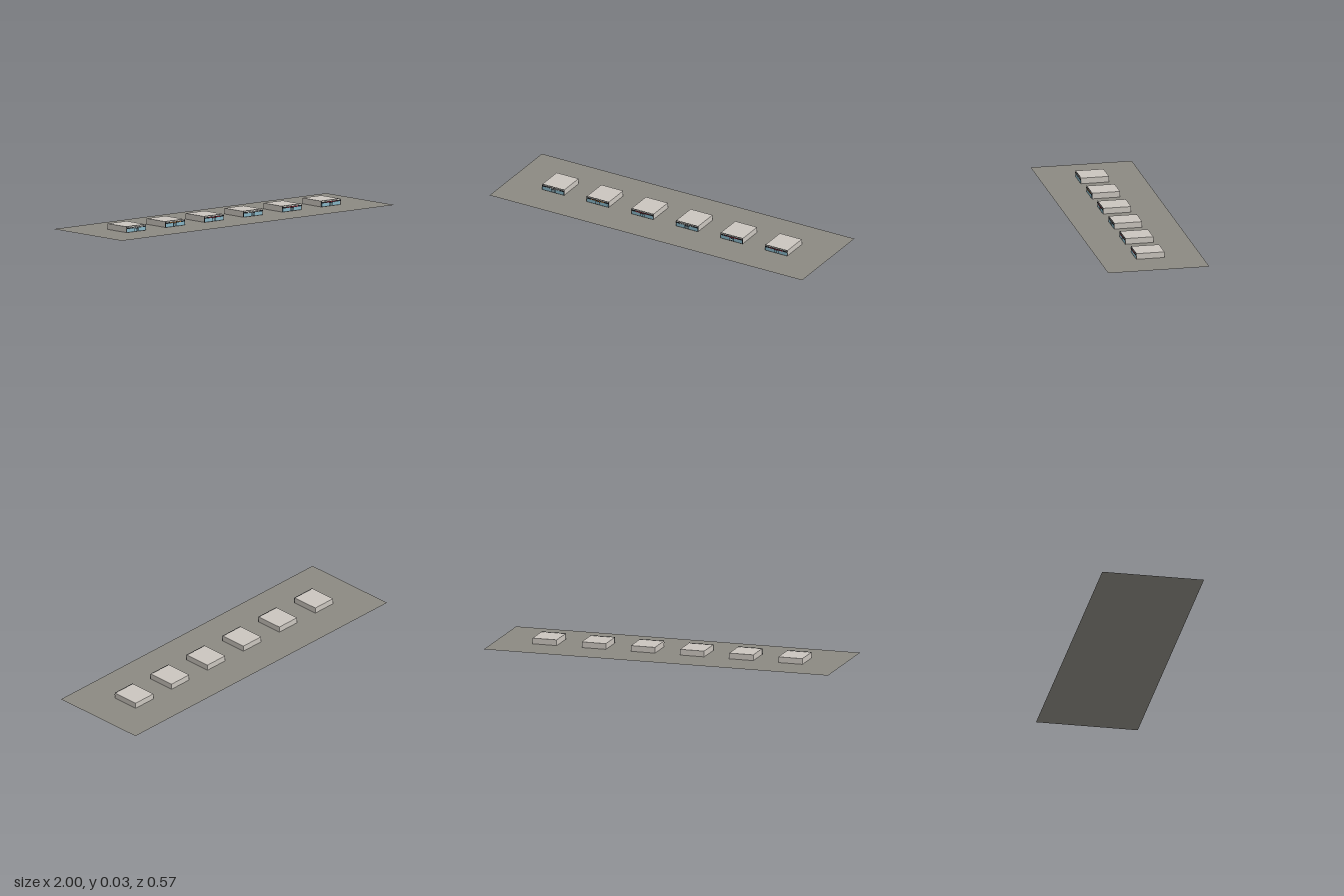
import * as THREE from 'three';

const mat = (name, color, side = THREE.FrontSide) => {
  const m = new THREE.MeshStandardMaterial({ color, side });
  m.name = name;
  return m;
};

export function createModel() {
  const model = new THREE.Group();
  model.name = 'shopRow';
  const paving = mat('paving', 0x8b8982, THREE.DoubleSide);
  const wall = mat('wall', 0xcac5be);
  const frame = mat('frame', 0x1b1f24);
  const glass = mat('glass', 0x86b4c4);
  const pale = mat('paleSign', 0xe6e6e2);
  const orange = mat('orangeSign', 0xd98a3a);
  const red = mat('redSign', 0xc0283a);

  // Box given by its size and the centre of its base
  const box = (parent, name, material, w, h, d, x, y, z) => {
    const mesh = new THREE.Mesh(new THREE.BoxGeometry(w, h, d), material);
    mesh.position.set(x, y + h / 2, z);
    mesh.name = name;
    parent.add(mesh);
  };

  // Flat paved ground
  const ground = new THREE.Mesh(new THREE.PlaneGeometry(2, 0.572), paving);
  ground.rotation.x = -Math.PI / 2;
  ground.name = 'ground';
  model.add(ground);

  const signColours = [pale, orange, red, pale, red, red];
  signColours.forEach((signColour, i) => {
    const shop = new THREE.Group();
    shop.name = `shop${i + 1}`;
    shop.position.x = (i - 2.5) * 0.2857;
    model.add(shop);

    // Building body and the dark shopfront with its low parapet
    box(shop, 'building', wall, 0.14, 0.0325, 0.157, 0, 0.0005, -0.0005);
    box(shop, 'shopfront', frame, 0.142, 0.034, 0.002, 0, 0.0005, 0.079);
    box(shop, 'fascia', wall, 0.138, 0.006, 0.0008, 0, 0.028, 0.0803);
    box(shop, 'signBand', frame, 0.142, 0.006, 0.002, 0, 0.021, 0.081);

    // Side windows, mirrored about the entrance
    for (const side of [-1, 1]) {
      box(shop, 'window', glass, 0.053, 0.018, 0.0008, side * 0.041, 0.002, 0.0803);
      box(shop, 'doorGlass', glass, 0.008, 0.015, 0.0008, side * 0.0065, 0.002, 0.0803);
      box(shop, 'doorHandle', pale, 0.001, 0.006, 0.001, side * 0.0015, 0.007, 0.081);
    }

    // Plain raised blocks on the sign band
    for (let k = -3; k <= 3; k++) {
      box(shop, 'signBlock', signColour, 0.007, 0.0035, 0.002, k * 0.0125, 0.0225, 0.083);
    }
  });

  return model;
}
